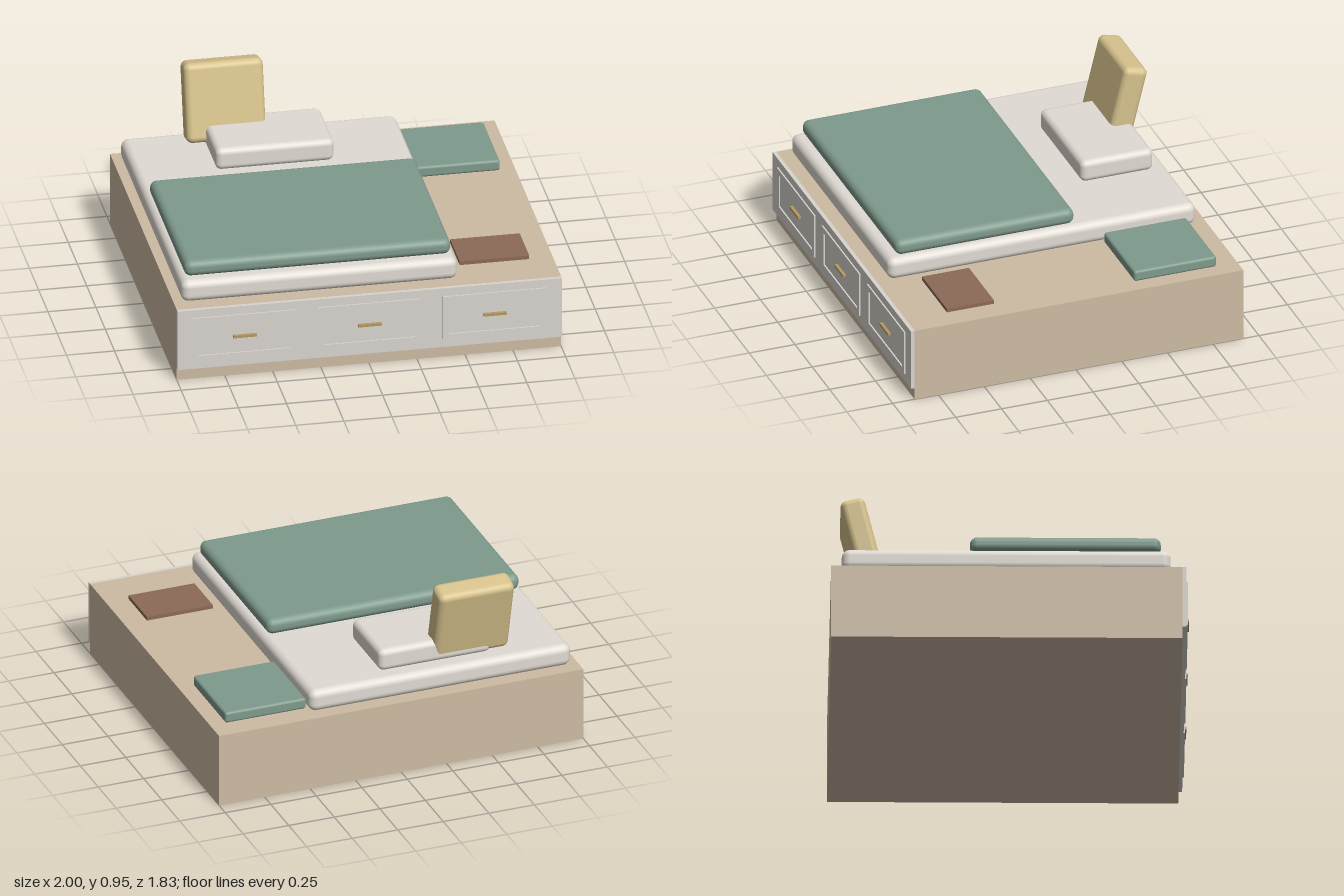
import * as THREE from 'three';
import { RoundedBoxGeometry } from 'three/addons/geometries/RoundedBoxGeometry.js';

const mat = (color) => new THREE.MeshStandardMaterial({ color });

export function createModel() {
  const root = new THREE.Group();
  const wood = mat(0xcdbba3), paint = mat(0xd9d5cf), linen = mat(0xe0dbd3);
  const green = mat(0x7f9a8d), gold = mat(0xd6c28c), brass = mat(0xb59a5f), brown = mat(0x8c6a58);

  // Box from its extents; r > 0 gives soft rounded edges
  const box = (parent, name, material, [x0, x1], [y0, y1], [z0, z1], r = 0) => {
    const size = [x1 - x0, y1 - y0, z1 - z0];
    const geo = r ? new RoundedBoxGeometry(...size, 5, r) : new THREE.BoxGeometry(...size);
    const mesh = new THREE.Mesh(geo, material);
    mesh.name = name;
    mesh.position.set((x0 + x1) / 2, (y0 + y1) / 2, (z0 + z1) / 2);
    parent.add(mesh);
    return mesh;
  };

  // Platform with a painted front panel
  box(root, 'platform', wood, [-1, 1], [0, 0.4], [-0.915, 0.88]);
  box(root, 'frontPanel', paint, [-1, 1], [0.065, 0.4], [0.88, 0.9]);

  // Three drawers: raised frame and bar handle
  for (const x of [-0.65, 0, 0.65]) {
    const drawer = new THREE.Group();
    drawer.name = 'drawer';
    drawer.position.x = x;
    const z = [0.895, 0.908];
    box(drawer, 'topRail', paint, [-0.27, 0.27], [0.325, 0.355], z);
    box(drawer, 'bottomRail', paint, [-0.27, 0.27], [0.11, 0.14], z);
    for (const s of [-1, 1]) {
      box(drawer, 'sideStile', paint, [s * 0.255 - 0.015, s * 0.255 + 0.015], [0.14, 0.325], z);
    }
    box(drawer, 'handle', brass, [-0.06, 0.06], [0.227, 0.24], [0.898, 0.917]);
    root.add(drawer);
  }

  // Bedding
  box(root, 'mattress', linen, [-0.96, 0.475], [0.4, 0.52], [-0.86, 0.82], 0.04);
  box(root, 'blanket', green, [-0.935, 0.45], [0.52, 0.605], [-0.205, 0.77], 0.036);
  box(root, 'pillow', linen, [-0.55, 0.065], [0.52, 0.64], [-0.78, -0.385], 0.032);

  // Upright cushion leaning back
  const cushion = box(root, 'cushion', gold, [-0.65, -0.235], [0.53, 0.95], [-0.82, -0.69], 0.034);
  cushion.position.set(-0.4425, 0.742, -0.757);
  cushion.rotation.x = -0.24;

  // Items on the side ledge
  box(root, 'foldedThrow', green, [0.475, 0.92], [0.4, 0.46], [-0.8, -0.35], 0.014);
  box(root, 'book', brown, [0.515, 0.877], [0.4, 0.42], [0.4, 0.657]);

  return root;
}
